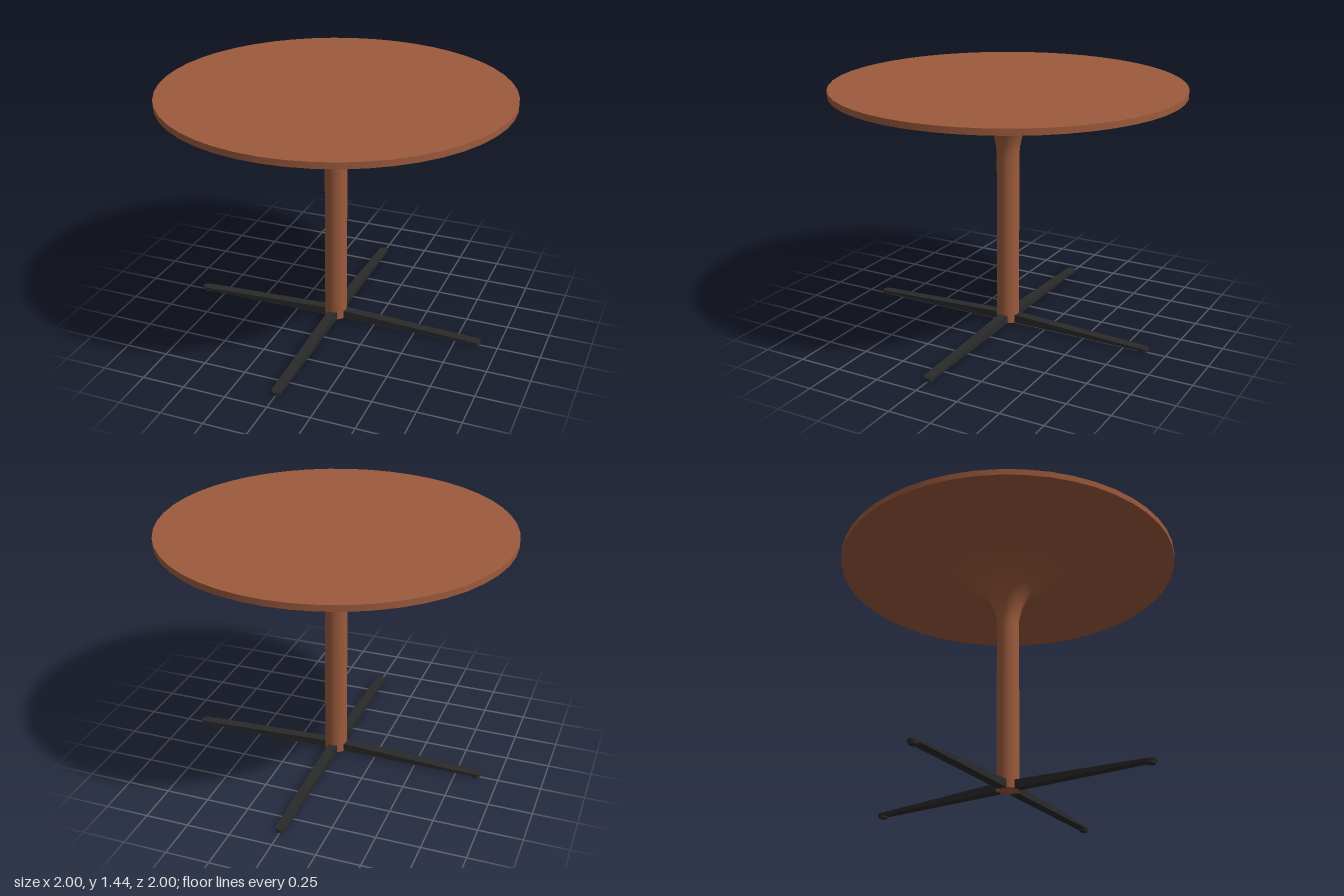
import * as THREE from 'three';

export function createModel() {
  const model = new THREE.Group();
  model.name = 'pedestalTable';
  const wood = new THREE.MeshStandardMaterial({ color: 0x9c5a3c });
  wood.name = 'warm brown';
  const metal = new THREE.MeshStandardMaterial({ color: 0x2a2a2a });
  metal.name = 'charcoal';

  const add = (parent, name, geometry, material) => {
    const mesh = new THREE.Mesh(geometry, material);
    mesh.name = name;
    parent.add(mesh);
    return mesh;
  };

  // Round top
  const top = add(model, 'tableTop', new THREE.CylinderGeometry(1, 1, 0.035, 48), wood);
  top.position.y = 1.4225;

  // Column flaring into the top with a quarter-round sweep
  const flare = 0.375, radius = 0.065, flareStart = 1.03;
  const profile = [new THREE.Vector2(radius, 0.012)];
  for (let i = 0; i <= 20; i++) {
    const a = (i / 20) * Math.PI / 2;
    profile.push(new THREE.Vector2(
      radius + flare * (1 - Math.cos(a)), flareStart + flare * Math.sin(a)));
  }
  add(model, 'column', new THREE.LatheGeometry(profile, 48), wood);
  const cap = add(model, 'columnBase', new THREE.CircleGeometry(radius, 48), wood);
  cap.rotation.x = Math.PI / 2;
  cap.position.y = 0.012;

  // Leg outline in plan: straight bar with a rounded tip
  const inner = 0.05, outer = 0.9, half = 0.028;
  const plan = new THREE.Shape();
  plan.moveTo(inner, -half);
  plan.lineTo(outer - half, -half);
  plan.absarc(outer - half, 0, half, -Math.PI / 2, Math.PI / 2, false);
  plan.lineTo(inner, half);
  plan.closePath();
  const legGeometry = new THREE.ExtrudeGeometry(plan, { depth: 1, bevelEnabled: false, curveSegments: 16 });
  legGeometry.rotateX(-Math.PI / 2);

  // Flat underside, upper face sloping down towards the tip
  const p = legGeometry.attributes.position;
  for (let i = 0; i < p.count; i++) {
    const t = (p.getX(i) - inner) / (outer - inner);
    p.setY(i, p.getY(i) > 0.5 ? THREE.MathUtils.lerp(0.06, 0.025, t) : 0.012);
  }
  legGeometry.computeVertexNormals();
  const padGeometry = new THREE.CylinderGeometry(0.025, 0.025, 0.014, 20);

  // Four crossed legs, each with a foot pad
  for (let i = 0; i < 4; i++) {
    const leg = new THREE.Group();
    leg.name = 'leg' + (i + 1);
    add(leg, 'legBar', legGeometry, metal);
    add(leg, 'footPad', padGeometry, metal).position.set(0.868, 0.007, 0);
    leg.rotation.y = i * Math.PI / 2;
    model.add(leg);
  }
  return model;
}
